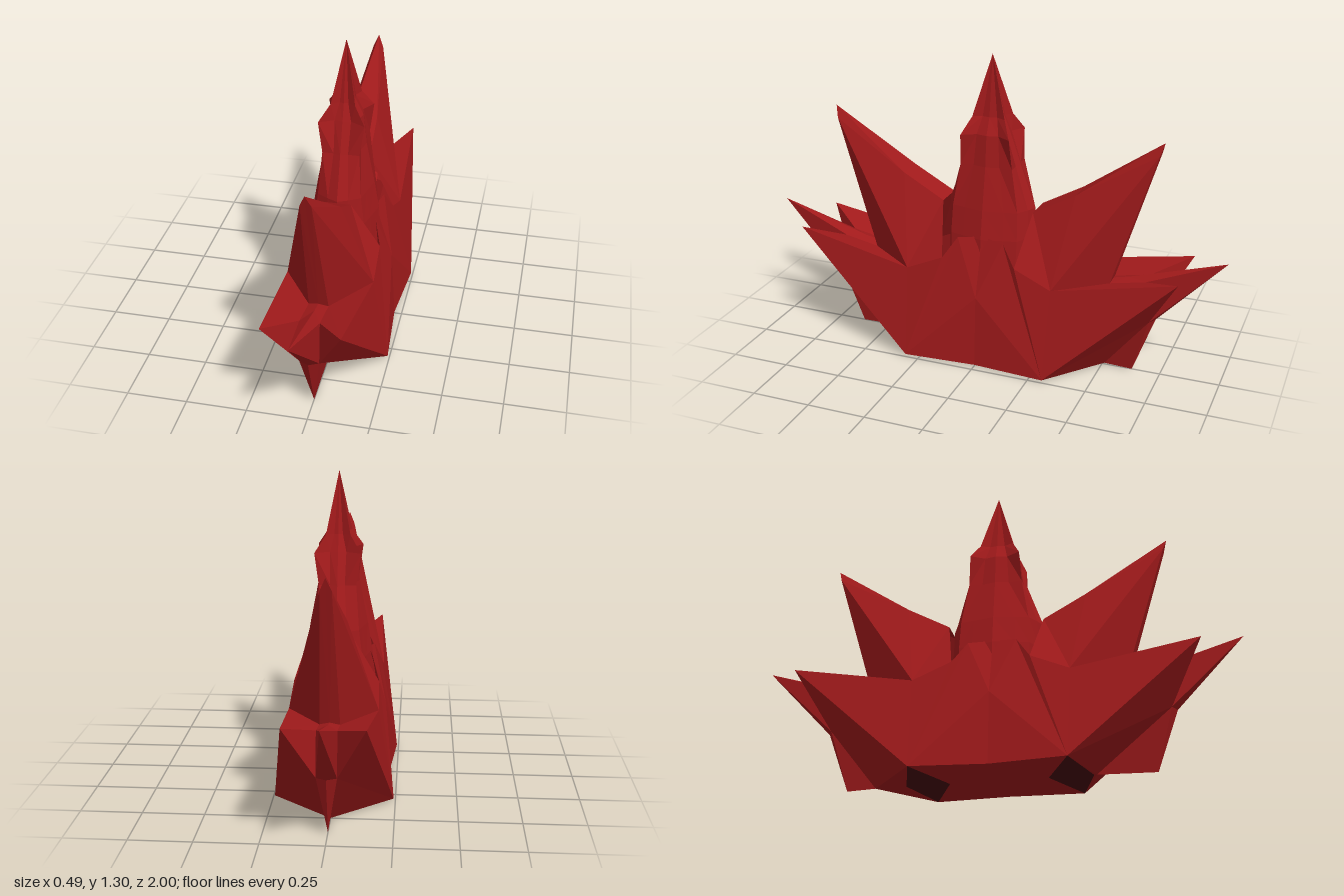
import * as THREE from 'three';

const makeMaterial = (name, color) => {
  const m = new THREE.MeshStandardMaterial({ color, flatShading: true, side: THREE.DoubleSide });
  m.name = name;
  return m;
};
const crystalRed = makeMaterial('crystalRed', 0xa11a1b);
const hollowDark = makeMaterial('hollowDark', 0x450a0b);

// Builds a flat-shaded mesh from a list of triangles (each three [x, y, z] points)
function facets(name, tris, material = crystalRed) {
  const geo = new THREE.BufferGeometry();
  geo.setAttribute('position', new THREE.Float32BufferAttribute(tris.flat(2), 3));
  geo.computeVertexNormals();
  const mesh = new THREE.Mesh(geo, material);
  mesh.name = name;
  return mesh;
}

// Splits a spaced list such as 'AMV AVB' into triangles of named points
const pick = (points, list) => list.split(' ').map(t => [...t].map(k => points[k]));

// Mirrors triangles to the other side in x, keeping them facing outward; sz flips front to back
function mirrored(tris, sz) {
  return [1, -1].flatMap(sx => tris.map(t => {
    const m = t.map(([x, y, z]) => [x * sx, y, z * sz]);
    return sx * sz < 0 ? m.reverse() : m;
  }));
}

// Key points of one quarter; c is where the keel of the lower middle spike begins
const quarter = c => ({
  O: [0, 0.005, 0], M: [0.218, 0.005, 0], A: [0.243, 0.008, 0.31], C: [0, 0.005, c], D: [0, 0, 0.63],
  P: [0, 0.005, 0.2], Z: [0, 0.005, 0.38],
  V: [0.2, 0.31, 0], X: [0.125, 0.56, 0], B: [0.145, 0.55, 0.1], K: [0.175, 0.46, 0.16], L: [0.18, 0.39, 0.32],
  S: [0.155, 0.49, 0.835], N: [0.04, 0.25, 0.70], E: [0, 0.25, 0.72], T: [0, 0.545, 1.0],
  U: [0.04, 0.43, 0.68], W: [0, 0.425, 0.6], G: [0.04, 0.4, 0.53], J: [0, 0.41, 0.535],
  F: [0, 1.015, 0.72], Y: [0.022, 0.965, 0.705], H: [0.058, 0.77, 0.38], I: [0, 0.77, 0.38],
  Q: [0.06, 0.67, 0.2], R: [0, 0.67, 0.2],
});

const parts = {
  base: 'OMA OAP ZAC AMV AVB ABK AKL VXB',
  sideSpike: 'ALS ASN ANC SUN SLG SGU',
  middleSpike: 'CND DNE ENT NUT TUW UGW WGJ',
  upperSpike: 'JGY JYF GLY LHY LKQ LQH FYH FHI IHQ IQR',
};

// Central spire: sections of [y, half width, half depth, corner reach], with shards at the four corners
function spire() {
  const levels = [[0.38, 0.155, 0.19, 0.75], [0.55, 0.14, 0.195, 0.75], [0.67, 0.12, 0.19, 0.75],
    [0.85, 0.085, 0.125, 0.9], [0.98, 0.095, 0.105, 1], [1.05, 0.05, 0.07, 1], [1.305, 0, 0, 1]];
  const rings = levels.map(([y, w, d, k]) => {
    const inset = k > 0.9 ? 0.75 : 1;
    return [[w * inset, 0], [w * 0.85 * inset, d * 0.45], [w * k, d * k], [w * 0.35, d * 0.9 * inset], [0, d * inset]]
      .map(([x, z]) => [x, y, z]);
  });
  const tris = [];
  for (let i = 0; i < rings.length - 1; i++) {
    for (let j = 0; j < 4; j++) {
      const a = rings[i][j], b = rings[i][j + 1], c = rings[i + 1][j + 1], d = rings[i + 1][j];
      tris.push([a, d, b]);
      if (i < rings.length - 2) tris.push([d, c, b]);
    }
  }
  return facets('spire', [...mirrored(tris, 1), ...mirrored(tris, -1)]);
}

export function createModel() {
  const group = new THREE.Group();
  group.name = 'crystalCluster';
  // Front and back halves share their shape apart from the keel
  for (const [label, sz, c] of [['front', 1, 0.39], ['back', -1, 0.51]]) {
    const points = quarter(c);
    for (const [name, list] of Object.entries(parts)) {
      group.add(facets(label + name[0].toUpperCase() + name.slice(1), mirrored(pick(points, list), sz)));
    }
    // Dark patch under each end of the base
    group.add(facets(label + 'Hollow', mirrored(pick(points, 'PAZ'), sz), hollowDark));
  }
  group.add(spire());
  return group;
}
